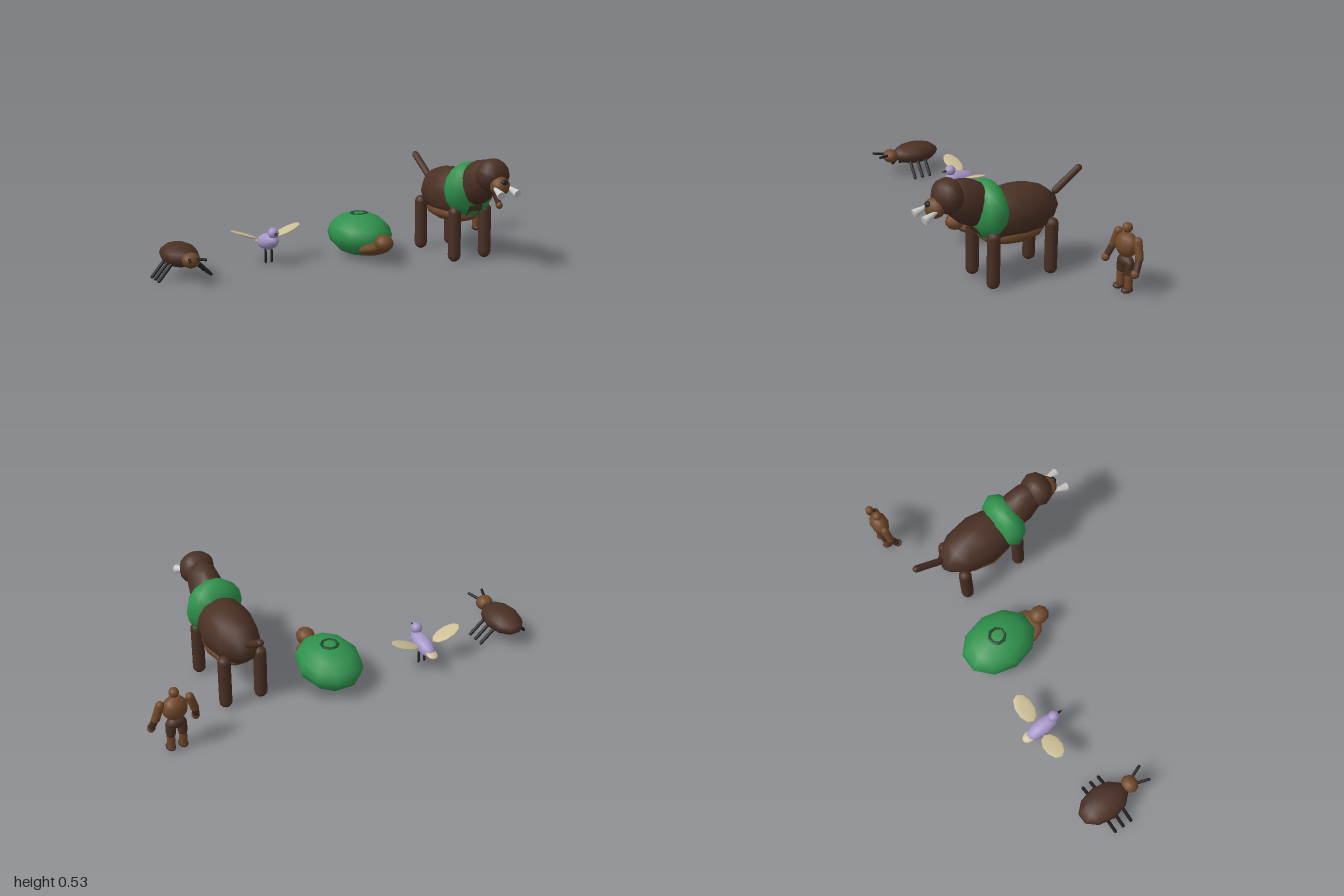
import * as THREE from 'three';

const mat = (color) => new THREE.MeshStandardMaterial({ color });
const DARK = mat(0x4a3024), BROWN = mat(0x70482a), GREEN = mat(0x2f914c), MOSS = mat(0x1d4a2c);
const BLACK = mat(0x222226), LILAC = mat(0xa595c6), TAN = mat(0xcbbf96), IVORY = mat(0xd4d4d0);

// Ellipsoid with radii r at p, tilted by rot; depth allows for the ten-sided outline
function blob(parent, name, m, p, r, rot = [0, 0, 0]) {
  const mesh = new THREE.Mesh(new THREE.SphereGeometry(1, 10, 8), m);
  mesh.name = name;
  mesh.position.set(...p);
  mesh.scale.set(r[0], r[1], r[2] * 1.05);
  mesh.rotation.set(...rot);
  parent.add(mesh);
  return mesh;
}

// Rounded rod whose cap centres sit at a and b
function rod(parent, name, m, a, b, r) {
  const A = new THREE.Vector3(...a), B = new THREE.Vector3(...b), d = B.clone().sub(A);
  const mesh = new THREE.Mesh(new THREE.CapsuleGeometry(r, d.length(), 4, 10), m);
  mesh.name = name;
  mesh.position.copy(A).add(B).multiplyScalar(0.5);
  mesh.quaternion.setFromUnitVectors(new THREE.Vector3(0, 1, 0), d.normalize());
  parent.add(mesh);
  return mesh;
}

function creature(root, name, x) {
  const g = new THREE.Group();
  g.name = name;
  g.position.x = x;
  root.add(g);
  return g;
}

function beetle(root) {
  const g = creature(root, 'beetle', -0.865);
  blob(g, 'beetleBody', DARK, [0, 0.105, -0.312], [0.086, 0.056, 0.125]);
  blob(g, 'beetleHead', BROWN, [0, 0.11, -0.16], [0.044, 0.036, 0.038]);
  for (const s of [-1, 1]) {
    rod(g, 'antenna', BLACK, [s * 0.015, 0.12, -0.14], [s * 0.038, 0.127, -0.078], 0.007);
    for (const z of [-0.34, -0.295, -0.25])
      rod(g, 'beetleLeg', BLACK, [s * 0.06, 0.08, z], [s * 0.127, 0.009, z + 0.008], 0.008);
  }
}

function bird(root) {
  const g = creature(root, 'bird', -0.405);
  blob(g, 'birdBody', LILAC, [0, 0.107, -0.325], [0.042, 0.04, 0.09], [-0.2, 0, 0]);
  blob(g, 'birdHead', LILAC, [0, 0.16, -0.262], [0.027, 0.027, 0.027]);
  blob(g, 'tailFeathers', TAN, [0, 0.095, -0.405], [0.028, 0.012, 0.034], [-0.2, 0, 0]);
  const beak = new THREE.Mesh(new THREE.ConeGeometry(0.009, 0.035, 8), BLACK);
  beak.name = 'beak';
  beak.position.set(0, 0.16, -0.226);
  beak.rotation.x = Math.PI / 2;
  g.add(beak);
  for (const s of [-1, 1]) {
    blob(g, 'wing', TAN, [s * 0.112, 0.147, -0.347], [0.078, 0.007, 0.043], [0, 0, s * 0.36]);
    rod(g, 'birdLeg', BLACK, [s * 0.016, 0.08, -0.32], [s * 0.016, 0.006, -0.32], 0.006);
  }
}

function shelledAnimal(root) {
  const g = creature(root, 'shelledAnimal', 0.06);
  blob(g, 'shell', GREEN, [0, 0.108, -0.25], [0.15, 0.106, 0.182]);
  blob(g, 'throat', BROWN, [0, 0.062, -0.095], [0.085, 0.033, 0.085], [-0.3, 0, 0]);
  blob(g, 'shellAnimalHead', BROWN, [0, 0.108, -0.01], [0.046, 0.041, 0.048]);
  // Ring standing just proud of the shell top
  const ring = new THREE.Mesh(new THREE.TorusGeometry(0.038, 0.012, 6, 8), MOSS);
  ring.name = 'shellRing';
  ring.position.set(0, 0.202, -0.255);
  ring.rotation.set(Math.PI / 2, 0, Math.PI / 8);
  g.add(ring);
}

function beast(root) {
  const g = creature(root, 'beast', 0.48);
  blob(g, 'beastBody', DARK, [0, 0.305, -0.055], [0.124, 0.13, 0.22]);
  blob(g, 'belly', BROWN, [0, 0.222, -0.05], [0.11, 0.052, 0.165]);
  blob(g, 'mane', GREEN, [0, 0.35, 0.088], [0.138, 0.135, 0.082]);
  blob(g, 'neck', DARK, [0, 0.395, 0.17], [0.08, 0.1, 0.148], [-0.6, 0, 0]);
  blob(g, 'beastHead', DARK, [0, 0.45, 0.283], [0.085, 0.08, 0.068]);
  blob(g, 'muzzle', BROWN, [0, 0.408, 0.345], [0.05, 0.047, 0.043]);
  blob(g, 'nose', BLACK, [0, 0.431, 0.38], [0.018, 0.014, 0.012]);
  rod(g, 'tail', DARK, [0, 0.357, -0.285], [0, 0.442, -0.409], 0.017);
  for (const s of [-1, 1]) {
    for (const z of [0.1, -0.208])
      rod(g, 'beastLeg', DARK, [s * 0.088, 0.03, z], [s * 0.088, 0.242, z], 0.031);
    // Tusk flares towards its blunt front end
    const from = new THREE.Vector3(s * 0.036, 0.412, 0.338), to = new THREE.Vector3(s * 0.046, 0.38, 0.425);
    const axis = to.clone().sub(from);
    const tusk = new THREE.Mesh(new THREE.CylinderGeometry(0.021, 0.003, axis.length(), 10), IVORY);
    tusk.name = 'tusk';
    tusk.position.copy(from).add(to).multiplyScalar(0.5);
    tusk.quaternion.setFromUnitVectors(new THREE.Vector3(0, 1, 0), axis.normalize());
    g.add(tusk);
  }
}

function figure(root) {
  const g = creature(root, 'figure', 0.877);
  blob(g, 'torso', BROWN, [0, 0.222, -0.387], [0.059, 0.058, 0.043]);
  blob(g, 'figureHead', BROWN, [0, 0.302, -0.387], [0.023, 0.023, 0.023]);
  blob(g, 'hips', DARK, [0, 0.145, -0.387], [0.046, 0.028, 0.028]);
  for (const s of [-1, 1]) {
    rod(g, 'upperArm', BROWN, [s * 0.068, 0.26, -0.393], [s * 0.09, 0.19, -0.387], 0.019);
    rod(g, 'forearm', DARK, [s * 0.09, 0.19, -0.387], [s * 0.102, 0.14, -0.365], 0.016);
    blob(g, 'hand', BROWN, [s * 0.103, 0.127, -0.357], [0.019, 0.02, 0.019]);
    rod(g, 'thigh', DARK, [s * 0.026, 0.14, -0.387], [s * 0.027, 0.095, -0.389], 0.022);
    rod(g, 'shin', BROWN, [s * 0.028, 0.08, -0.387], [s * 0.028, 0.025, -0.387], 0.019);
    blob(g, 'foot', DARK, [s * 0.029, 0.015, -0.38], [0.022, 0.015, 0.029]);
  }
}

export function createModel() {
  const root = new THREE.Group();
  root.name = 'animalRow';
  for (const build of [beetle, bird, shelledAnimal, beast, figure]) build(root);
  return root;
}
